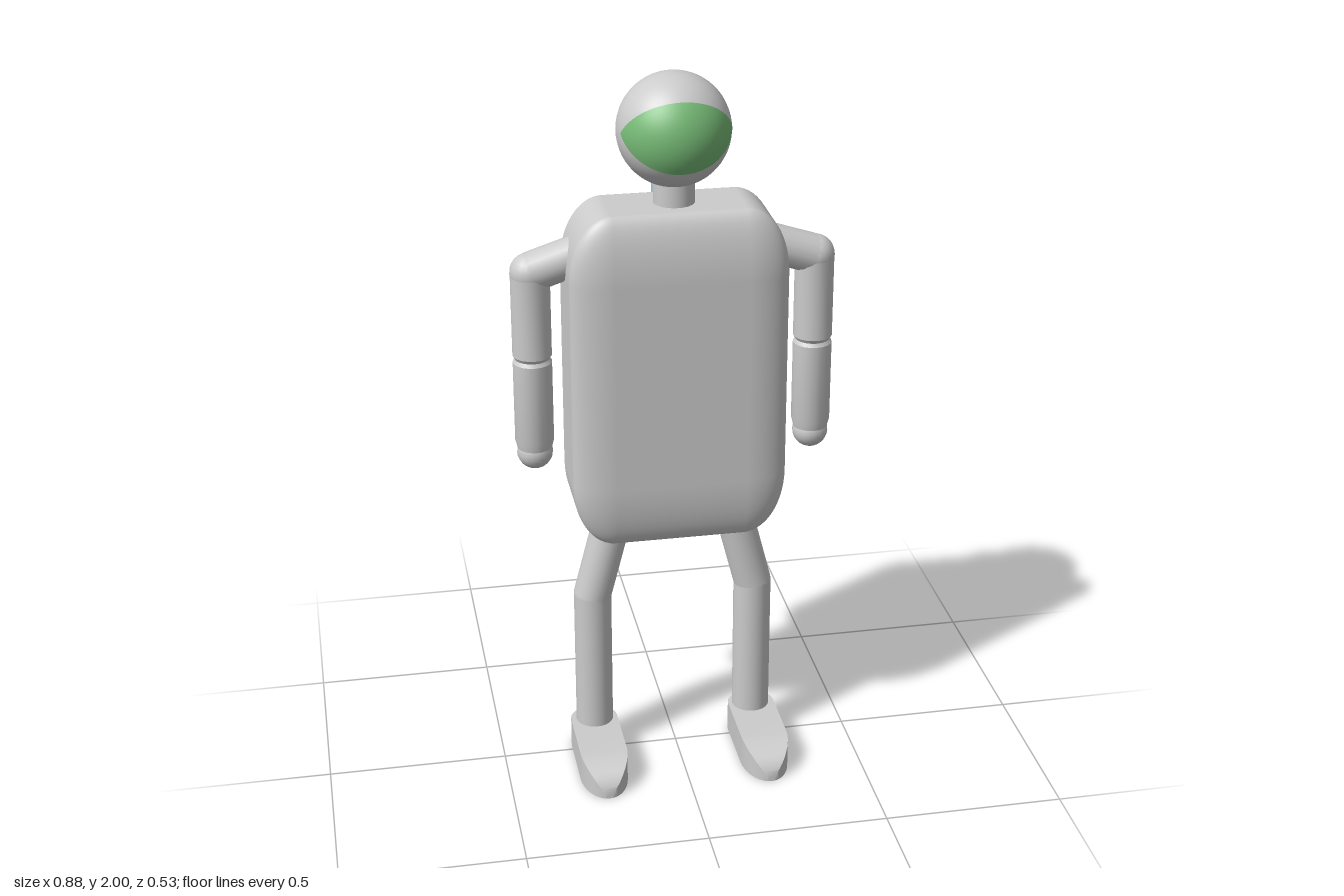
import * as THREE from 'three';
import { toCreasedNormals } from 'three/addons/utils/BufferGeometryUtils.js';
import { RoundedBoxGeometry } from 'three/addons/geometries/RoundedBoxGeometry.js';

const grey = new THREE.MeshStandardMaterial({ color: 0xcccccc });
const green = new THREE.MeshStandardMaterial({ color: 0x77bb77, side: THREE.DoubleSide });
const teal = new THREE.MeshStandardMaterial({ color: 0xa6c8cc });

const V = (x, y, z) => new THREE.Vector3(x, y, z);

function add(parent, name, geometry, material = grey, x = 0, y = 0, z = 0) {
  const mesh = new THREE.Mesh(geometry, material);
  mesh.name = name;
  mesh.position.set(x, y, z);
  parent.add(mesh);
  return mesh;
}

// Cylinder running between two points
function rod(parent, name, a, b, radius, sides = 24) {
  const mesh = add(parent, name, new THREE.CylinderGeometry(radius, radius, a.distanceTo(b), sides));
  mesh.position.copy(a).add(b).multiplyScalar(0.5);
  mesh.quaternion.setFromUnitVectors(V(0, 1, 0), b.clone().sub(a).normalize());
  return mesh;
}

// Unit rounded box stretched to size, so the rounding stretches with it
function stretchedBox(w, h, d, segments, rounding) {
  return new RoundedBoxGeometry(1, 1, 1, segments, rounding).scale(w, h, d);
}

// Visor: the patch of the head sphere inside a wedge that opens forward
function visorGeometry(r) {
  const geometry = new THREE.PlaneGeometry(2, 1, 40, 12);
  const p = geometry.attributes.position;
  const y0 = 0.008, z0 = 0.04;
  const xMax = Math.sqrt(r * r - y0 * y0 - z0 * z0);
  for (let i = 0; i < p.count; i++) {
    const x = xMax * Math.sin(p.getX(i) * Math.PI / 2);
    const t = 0.05 + p.getY(i) * 1.73;
    const dy = Math.sin(t), dz = Math.cos(t);
    const b = y0 * dy + z0 * dz;
    const s = -b + Math.sqrt(Math.max(0, b * b + xMax * xMax - x * x));
    p.setXYZ(i, x, y0 + s * dy, z0 + s * dz);
  }
  geometry.computeVertexNormals();
  return geometry;
}

// Foot: rounded heel, flat middle, toe that narrows and drops on one ellipse
function footGeometry() {
  const n = 24;
  const geometry = new THREE.BoxGeometry(2, 1, 1, 1, 1, n);
  const p = geometry.attributes.position;
  for (let i = 0; i < p.count; i++) {
    const u = p.getZ(i) + 0.5;
    let z, w = 1, h = 1;
    if (u < 1 / 3) {
      const a = u * 3 * Math.PI / 2;
      z = -0.02 - 0.06 * Math.cos(a);
      w = Math.sin(a);
    } else {
      const a = (u - 1 / 3) * 1.5 * Math.PI / 2;
      z = 0.15 + 0.115 * Math.sin(a);
      w = h = Math.cos(a);
      if (u < 1 / 3 + 0.001) { z = -0.02; w = h = 1; }
    }
    p.setXYZ(i, p.getX(i) * w * 0.067, (p.getY(i) + 0.5) * h * 0.09, z);
  }
  return toCreasedNormals(geometry, 0.6);
}

// Arm section turned from a short profile, with softened ends
function armSection(yTop, yBottom, rBottom, bevel) {
  const points = [[0, yBottom], [rBottom, yBottom], [0.053, yBottom + bevel],
    [0.053, yTop - 0.01], [0.047, yTop], [0, yTop]].map(([r, y]) => new THREE.Vector2(r, y));
  return toCreasedNormals(new THREE.LatheGeometry(points, 20), 0.5);
}

function makeArm(side) {
  const arm = new THREE.Group();
  arm.name = side > 0 ? 'leftArm' : 'rightArm';
  const x = side * 0.384, z = -0.024;
  rod(arm, 'shoulder', V(side * 0.2, 1.535, z), V(x, 1.475, z), 0.054, 16);
  add(arm, 'shoulderJoint', new THREE.SphereGeometry(0.054, 20, 14), grey, x, 1.475, z);
  add(arm, 'upperArm', armSection(1.485, 1.232, 0.047, 0.01), grey, x, 0, z);
  add(arm, 'forearm', armSection(1.232, 0.955, 0.043, 0.04), grey, x, 0, z);
  add(arm, 'hand', new THREE.SphereGeometry(0.049, 20, 14), grey, x, 0.958, z);
  return arm;
}

function makeLeg(side) {
  const leg = new THREE.Group();
  leg.name = side > 0 ? 'leftLeg' : 'rightLeg';
  const z = -0.02, knee = V(side * 0.23, 0.5, z);
  rod(leg, 'thigh', V(side * 0.158, 0.78, z), knee, 0.053);
  add(leg, 'knee', new THREE.SphereGeometry(0.053, 24, 16), grey, knee.x, knee.y, z);
  rod(leg, 'shin', V(knee.x, 0.05, z), knee, 0.053);
  add(leg, 'foot', footGeometry(), grey, side * 0.232, 0, 0);
  return leg;
}

export function createModel() {
  const model = new THREE.Group();
  model.name = 'figure';
  const body = new THREE.Group();
  body.name = 'body';
  body.position.x = -0.004;
  model.add(body);

  // Trunk and neck
  add(body, 'torso', stretchedBox(0.585, 0.945, 0.27, 8, 0.195), grey, 0, 1.182, 0);
  rod(body, 'neck', V(0, 1.62, 0), V(0, 1.75, 0), 0.055);

  // Head with visor
  add(body, 'head', new THREE.SphereGeometry(0.15, 40, 28), grey, 0, 1.85, -0.003);
  add(body, 'visor', visorGeometry(0.151), green, 0, 1.85, -0.003);

  // Backpack and air hose
  add(body, 'backpack', toCreasedNormals(stretchedBox(0.45, 0.62, 0.125, 1, 0.1), 0.3),
    grey, 0, 1.26, -0.2025);
  const path = new THREE.CatmullRomCurve3([V(0, 1.55, -0.196), V(0, 1.66, -0.198),
    V(0, 1.735, -0.178), V(0, 1.775, -0.13), V(0, 1.79, -0.09)]);
  add(body, 'hose', new THREE.TubeGeometry(path, 12, 0.025, 14), teal);

  // Limbs
  for (const side of [1, -1]) {
    model.add(makeArm(side));
    body.add(makeLeg(side));
  }
  return model;
}
